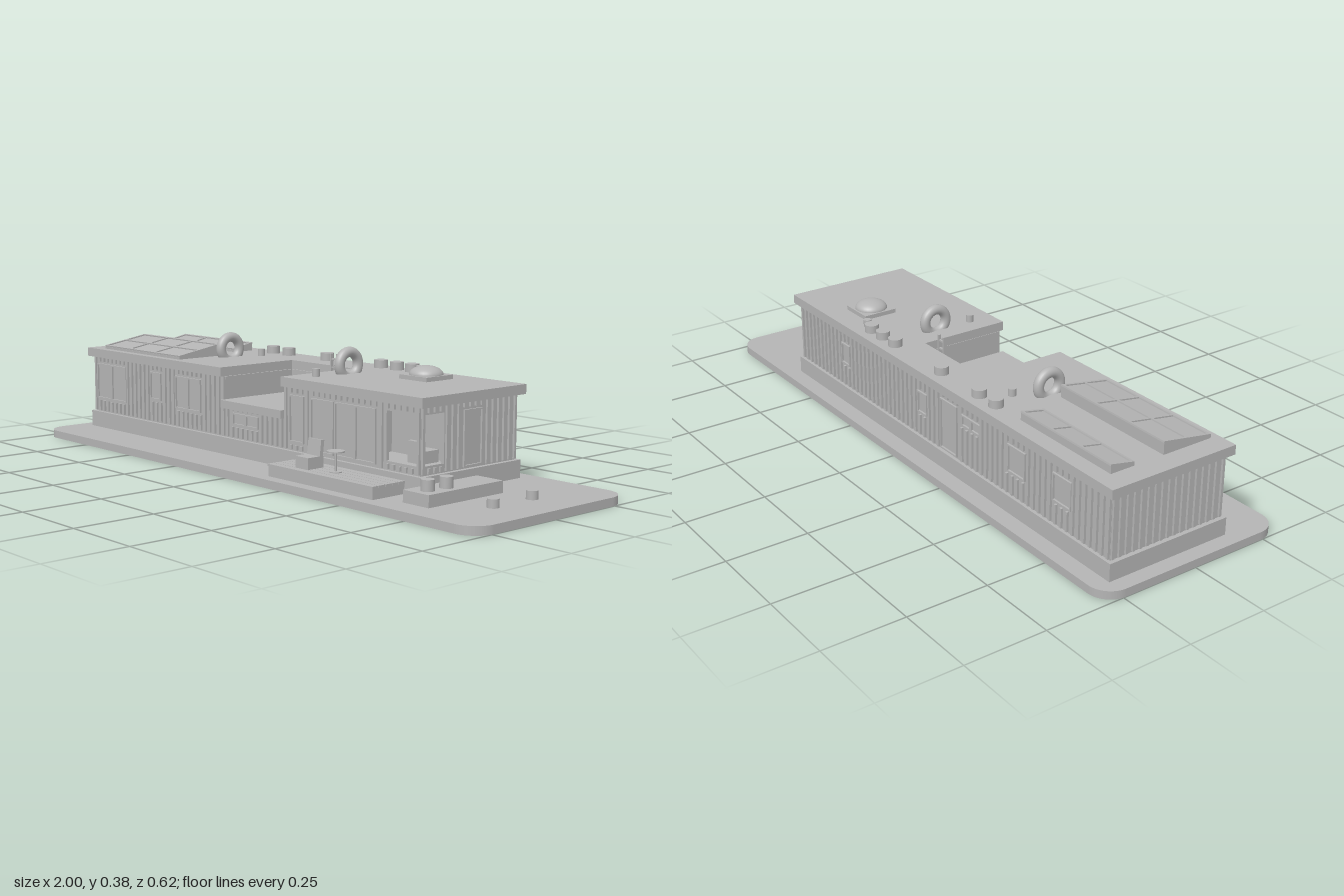
import * as THREE from 'three';
import { mergeGeometries } from 'three/addons/utils/BufferGeometryUtils.js';

const grey = new THREE.MeshStandardMaterial({ color: 0xb4b4b4 });
grey.name = 'grey';

// box geometry from its min and max on each axis
function boxGeo(x0, x1, y0, y1, z0, z1) {
  return new THREE.BoxGeometry(x1 - x0, y1 - y0, z1 - z0)
    .translate((x0 + x1) / 2, (y0 + y1) / 2, (z0 + z1) / 2);
}

function add(parent, name, geo, x = 0, y = 0, z = 0) {
  const mesh = new THREE.Mesh(geo, grey);
  mesh.name = name;
  mesh.position.set(x, y, z);
  parent.add(mesh);
  return mesh;
}

const addBoxes = (parent, name, boxes) =>
  add(parent, name, mergeGeometries(boxes.map((b) => boxGeo(...b))));

const cylinder = (parent, name, x, y, z, r, h) =>
  add(parent, name, new THREE.CylinderGeometry(r, r, h, 24), x, y + h / 2, z);

// flat outline in x and z, raised from y0 to y1
function slab(parent, name, shape, y0, y1) {
  const geo = new THREE.ExtrudeGeometry(shape, { depth: y1 - y0, bevelEnabled: false, curveSegments: 12 });
  return add(parent, name, geo.rotateX(-Math.PI / 2), 0, y0, 0);
}

const rectPoints = (x0, x1, y0, y1) =>
  [[x0, y0], [x1, y0], [x1, y1], [x0, y1]].map((p) => new THREE.Vector2(...p));

// window or door frame with a row of panes, in wall coordinates
function frame(parent, name, [u0, u1, y0, y1, panes]) {
  const shape = new THREE.Shape(rectPoints(u0, u1, y0, y1));
  const w = (u1 - u0) / panes, e = 0.005;
  for (let i = 0; i < panes; i++) {
    shape.holes.push(new THREE.Path(rectPoints(u0 + i * w + e, u0 + (i + 1) * w - e, y0 + e, y1 - e)));
  }
  add(parent, name, new THREE.ExtrudeGeometry(shape, { depth: 0.006, bevelEnabled: false }));
}

// ribbed cladding: spans are [u0, u1, top], openings are [u0, u1, y0, y1, panes]
function cladding(parent, name, angle, x, z, spans, openings) {
  const wall = new THREE.Group();
  wall.name = name;
  wall.rotation.y = angle;
  wall.position.set(x, 0, z);
  parent.add(wall);
  const ribs = [];
  for (const [u0, u1, top] of spans) {
    const n = Math.round((u1 - u0) / 0.0245);
    for (let i = 0; i <= n; i++) {
      const u = u0 + 0.005 + (i * (u1 - u0 - 0.01)) / n;
      const cut = openings.find((o) => u + 0.005 > o[0] && u - 0.005 < o[1]);
      const pieces = cut ? [[0.083, cut[2] - 0.007], [cut[3] + 0.007, top]] : [[0.083, top]];
      for (const [a, b] of pieces) {
        if (b - a > 0.004) ribs.push([u - 0.004, u + 0.004, a, b, -0.002, 0.007]);
      }
    }
  }
  addBoxes(wall, 'wallRibs', ribs);
  openings.filter((o) => o[4] > 0).forEach((o) => frame(wall, 'windowFrame', o));
}

// tilted solar array with raised frame bars around its cells
function solarArray(parent, x0, x1, zLow, zHigh, yLow, yHigh, rows) {
  const g = new THREE.Group();
  g.name = 'solarArray';
  parent.add(g);
  const side = new THREE.Shape();
  side.moveTo(-zLow, 0.3).lineTo(-zHigh, 0.3).lineTo(-zHigh, yHigh - 0.004).lineTo(-zLow, yLow - 0.004);
  const geo = new THREE.ExtrudeGeometry(side, { depth: x1 - x0, bevelEnabled: false });
  add(g, 'solarWedge', geo.rotateY(Math.PI / 2), x0, 0, 0);
  const length = Math.hypot(zLow - zHigh, yHigh - yLow), w = x1 - x0, t = 0.004;
  const bars = [];
  for (let i = 0; i <= 3; i++) {
    const x = -w / 2 + t + (i * (w - 2 * t)) / 3;
    bars.push([x - t, x + t, -0.005, 0, -length / 2, length / 2]);
  }
  for (let j = 0; j <= rows; j++) {
    const z = -length / 2 + t + (j * (length - 2 * t)) / rows;
    bars.push([-w / 2, w / 2, -0.005, 0, z - t, z + t]);
  }
  const grid = addBoxes(g, 'solarFrame', bars);
  grid.position.set((x0 + x1) / 2, (yLow + yHigh) / 2, (zLow + zHigh) / 2);
  grid.rotation.x = Math.atan2(yHigh - yLow, zLow - zHigh);
}

export function createModel() {
  const model = new THREE.Group();
  model.name = 'house';

  // ground plate with rounded corners
  const r = 0.07, W = 1, D = 0.312;
  const ground = new THREE.Shape();
  ground.absarc(W - r, D - r, r, 0, Math.PI / 2);
  ground.absarc(-W + r, D - r, r, Math.PI / 2, Math.PI);
  ground.absarc(-W + r, -D + r, r, Math.PI, Math.PI * 1.5);
  ground.absarc(W - r, -D + r, r, Math.PI * 1.5, Math.PI * 2);
  slab(model, 'groundPlate', ground, 0, 0.025);

  // plinth and body blocks, leaving the roof terrace and corner nook open
  addBoxes(model, 'plinth', [[-0.952, 0.657, 0.025, 0.079, -0.259, 0.152]]);
  addBoxes(model, 'body', [
    [-0.938, -0.21, 0.079, 0.27, -0.248, 0.14],
    [-0.21, 0.08, 0.079, 0.18, -0.248, 0.14],
    [-0.21, 0.08, 0.18, 0.27, -0.248, -0.135],
    [0.08, 0.42, 0.079, 0.27, -0.248, 0.14],
    [0.42, 0.643, 0.079, 0.27, -0.248, 0.03],
  ]);
  addBoxes(model, 'nookWalls', [
    [0.42, 0.51, 0.079, 0.27, 0.13, 0.14],
    [0.51, 0.643, 0.079, 0.105, 0.13, 0.14],
    [0.51, 0.643, 0.247, 0.27, 0.13, 0.14],
    [0.63, 0.643, 0.105, 0.247, 0.125, 0.14],
    [0.63, 0.643, 0.079, 0.105, 0.03, 0.13],
    [0.63, 0.643, 0.247, 0.27, 0.03, 0.13],
    [0.63, 0.643, 0.105, 0.247, 0.03, 0.048],
    [0.42, 0.63, 0.079, 0.105, 0.03, 0.13],
  ]);
  addBoxes(model, 'nookSeat', [
    [0.565, 0.62, 0.105, 0.14, 0.045, 0.112],
    [0.565, 0.62, 0.14, 0.167, 0.098, 0.112],
  ]);

  // roof with the terrace cut out of its front edge
  const roof = new THREE.Shape([
    [-0.958, -0.16], [-0.21, -0.16], [-0.21, 0.135], [0.08, 0.135],
    [0.08, -0.16], [0.667, -0.16], [0.667, 0.266], [-0.958, 0.266],
  ].map((p) => new THREE.Vector2(...p)));
  slab(model, 'roof', roof, 0.271, 0.3);
  addBoxes(model, 'terraceFloor', [[-0.21, 0.08, 0.173, 0.198, -0.135, 0.16]]);

  // cladding, windows and doors on each side
  cladding(model, 'frontCladding', 0, 0, 0.14,
    [[-0.938, -0.21, 0.27], [-0.2, 0.07, 0.172], [0.08, 0.643, 0.27]], [
      [-0.925, -0.75, 0.125, 0.247, 2],
      [-0.61, -0.55, 0.155, 0.247, 1],
      [-0.47, -0.335, 0.14, 0.247, 2],
      [-0.17, -0.045, 0.122, 0.16, 2],
      [0.1, 0.165, 0.105, 0.247, 1],
      [0.195, 0.295, 0.088, 0.247, 1],
      [0.3, 0.47, 0.088, 0.247, 2],
      [0.51, 0.63, 0.105, 0.247, 0],
    ]);
  cladding(model, 'backCladding', Math.PI, 0, -0.248, [[-0.643, 0.938, 0.27]], [
    [-0.39, -0.34, 0.155, 0.225, 1],
    [0.05, 0.1, 0.155, 0.225, 1],
    [0.17, 0.255, 0.085, 0.247, 1],
    [0.28, 0.37, 0.2, 0.235, 2],
    [0.5, 0.58, 0.15, 0.235, 1],
    [0.7, 0.78, 0.15, 0.235, 1],
  ]);
  cladding(model, 'leftCladding', Math.PI / 2, 0.643, 0, [[-0.14, 0.248, 0.27]], [
    [-0.125, -0.048, 0.105, 0.245, 0],
    [0.028, 0.105, 0.084, 0.247, 1],
  ]);
  cladding(model, 'rightCladding', -Math.PI / 2, -0.938, 0, [[-0.248, 0.14, 0.27]], []);

  // solar arrays
  solarArray(model, -0.89, -0.46, 0.133, -0.035, 0.312, 0.34, 2);
  solarArray(model, -0.89, -0.51, -0.135, -0.215, 0.312, 0.328, 1);

  // roof rings
  for (const x of [-0.42, 0.155]) {
    add(model, 'roofRing', new THREE.TorusGeometry(0.038, 0.016, 20, 40).rotateY(Math.PI / 2), x, 0.327, -0.047);
  }

  // skylight dome on a square curb
  addBoxes(model, 'skylightCurb', [[0.342, 0.454, 0.3, 0.313, -0.188, -0.076]]);
  const dome = new THREE.SphereGeometry(0.051, 32, 12, 0, Math.PI * 2, 0, Math.PI / 2).scale(1, 0.53, 1);
  add(model, 'skylightDome', dome, 0.398, 0.313, -0.132);

  // roof vents
  for (const x of [-0.4, -0.32, -0.13, 0.12, 0.19, 0.255]) {
    cylinder(model, 'roofVent', x, 0.3, -0.218, 0.022, 0.025);
  }
  for (const [x, z] of [[0.297, -0.208], [-0.37, -0.14], [0.145, 0.077]]) {
    cylinder(model, 'smallVent', x, 0.3, z, 0.012, 0.023);
  }

  // terrace ladder
  const ladder = [[0, 0.005, 0.198, 0.342, -0.122, -0.112], [0.027, 0.032, 0.198, 0.342, -0.122, -0.112]];
  for (let i = 0; i < 5; i++) {
    const y = 0.218 + i * 0.026;
    ladder.push([0.005, 0.027, y, y + 0.005, -0.12, -0.114]);
  }
  addBoxes(model, 'ladder', ladder);

  // plank deck and side platform
  const planks = [[0.157, 0.593, 0.025, 0.057, 0.15, 0.273]];
  for (let i = 0; i < 5; i++) {
    const z = 0.152 + i * 0.025;
    planks.push([0.155, 0.595, 0.055, 0.062, z, z + 0.023]);
  }
  addBoxes(model, 'deck', planks);
  addBoxes(model, 'sidePlatform', [[0.667, 0.763, 0.025, 0.06, -0.062, 0.232]]);

  // deck chair with a leaning back
  addBoxes(model, 'chairSeat', [[0.25, 0.305, 0.062, 0.096, 0.19, 0.25]]);
  const back = add(model, 'chairBack', new THREE.BoxGeometry(0.055, 0.055, 0.012), 0.2775, 0.115, 0.197);
  back.rotation.x = -0.12;

  // round table
  cylinder(model, 'tableTop', 0.38, 0.12, 0.212, 0.026, 0.004);
  cylinder(model, 'tableLeg', 0.38, 0.062, 0.212, 0.003, 0.058);
  cylinder(model, 'tableFoot', 0.38, 0.062, 0.212, 0.018, 0.003);

  // planters on the platform and the ground
  for (const [x, z] of [[0.725, 0.125], [0.72, 0.192]]) cylinder(model, 'planter', x, 0.06, z, 0.019, 0.032);
  for (const z of [-0.062, 0.096]) cylinder(model, 'groundPlanter', 0.867, 0.025, z, 0.017, 0.025);

  return model;
}
